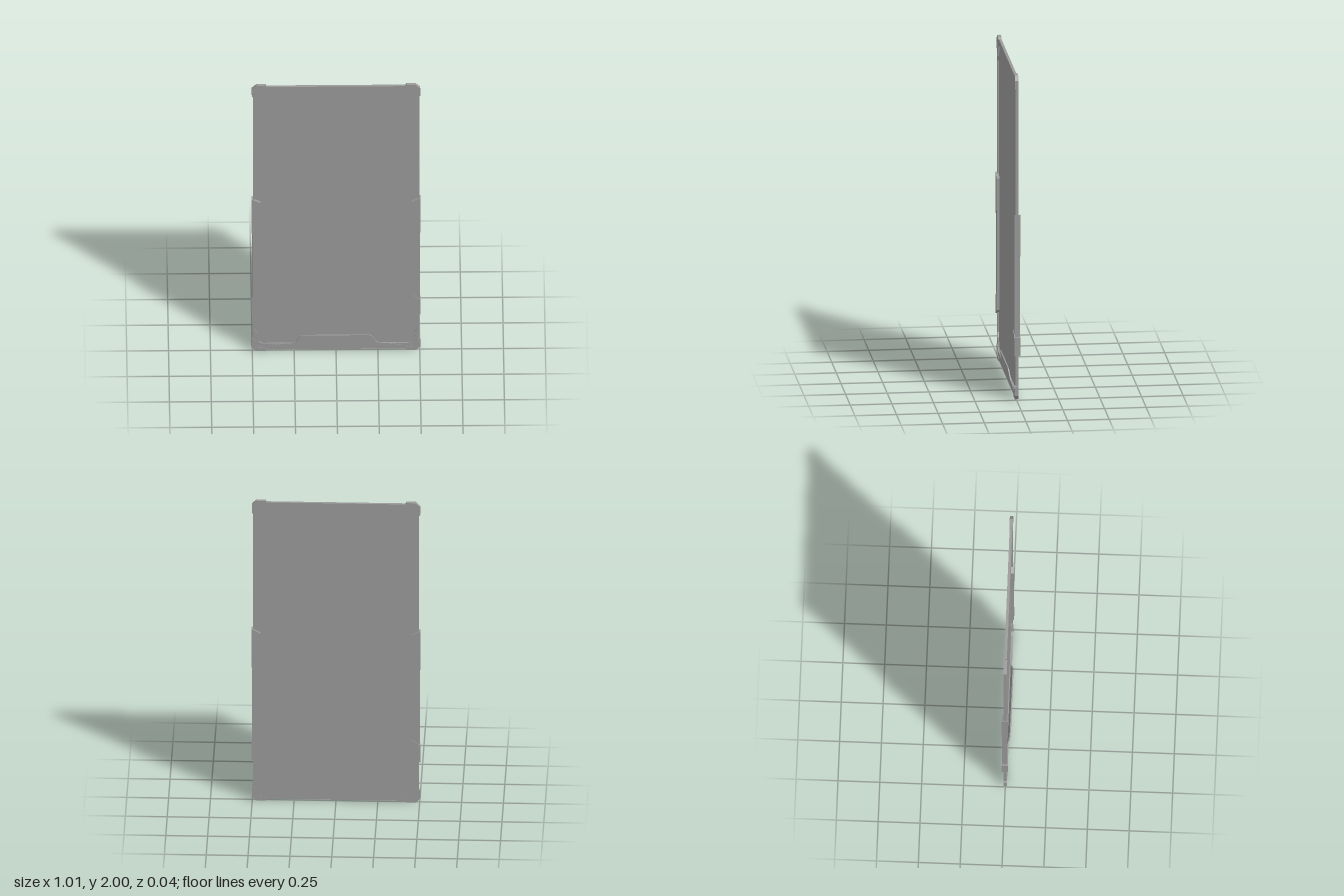
import * as THREE from 'three';

const material = new THREE.MeshStandardMaterial({ color: 0x9a9a9a });

const toPoints = (list) => list.map(([x, y]) => new THREE.Vector2(x, y));

// Flat plate with the given outline, filling z0..z1; optional hole outline
function plate(name, outline, z0, z1, hole) {
  const shape = new THREE.Shape(toPoints(outline));
  if (hole) shape.holes.push(new THREE.Path(toPoints(hole)));
  const geometry = new THREE.ExtrudeGeometry(shape, { depth: z1 - z0, bevelEnabled: false });
  geometry.translate(0, 0, z0);
  const mesh = new THREE.Mesh(geometry, material);
  mesh.name = name;
  return mesh;
}

// Closes a right-hand half outline by mirroring it in x
const mirrored = (half) => [...half, ...half.slice().reverse().map(([x, y]) => [-x, y])];

export function createModel() {
  const model = new THREE.Group();
  model.name = 'panelTray';

  // Back panel and the thin raised rim around it
  const outline = mirrored([[0.475, 0.01], [0.497, 0.035], [0.497, 1.965], [0.475, 1.99]]);
  const opening = mirrored([
    [0.31, 0.053], [0.44, 0.053], [0.464, 0.07], [0.47, 0.13], [0.485, 0.16],
    [0.485, 1.84], [0.47, 1.87], [0.464, 1.93], [0.44, 1.962], [0.28, 1.966], [0.22, 1.98],
  ]);
  model.add(plate('backPanel', outline, -0.010, -0.003));
  model.add(plate('rim', outline, -0.003, 0.006, opening));

  // Corner guards: chamfered L brackets, a little thicker than the rim
  const corner = [
    [0.413, 1.985], [0.42, 2.0], [0.476, 2.0], [0.503, 1.973], [0.503, 1.918],
    [0.488, 1.91], [0.478, 1.925], [0.474, 1.955], [0.458, 1.972], [0.428, 1.975],
  ];
  for (const sx of [-1, 1]) {
    for (const top of [true, false]) {
      const points = corner.map(([x, y]) => [sx * x, top ? y : 2 - y]);
      const side = sx > 0 ? 'left' : 'right';
      model.add(plate(`${side}${top ? 'Top' : 'Bottom'}Corner`, points, -0.012, 0.009));
    }
  }

  // Side grips: a slim middle bar with a thicker clamp at each end
  const grips = [
    ['Bar', [[0.45, 0.42], [0.5, 0.38], [0.5, 0.91], [0.45, 0.93]], -0.019, 0.012],
    ['UpperClamp', [[0.45, 0.92], [0.505, 0.89], [0.505, 1.147], [0.492, 1.142], [0.45, 1.12]], -0.022, 0.015],
    ['LowerClamp', [[0.45, 0.305], [0.492, 0.28], [0.505, 0.273], [0.505, 0.385], [0.45, 0.425]], -0.022, 0.015],
  ];
  for (const sx of [-1, 1]) {
    const grip = new THREE.Group();
    grip.name = sx > 0 ? 'leftGrip' : 'rightGrip';
    for (const [part, points, z0, z1] of grips) {
      grip.add(plate(`grip${part}`, points.map(([x, y]) => [sx * x, y]), z0, z1));
    }
    model.add(grip);
  }

  // Bottom lip: a thin ledge leaning forward toward its top edge; it keeps the
  // upright normals so that it shades evenly with the panel
  const lip = plate('bottomLip', mirrored([
    [0.41, 0.012], [0.41, 0.035], [0.31, 0.055], [0.252, 0.06], [0.24, 0.07], [0.212, 0.118], [0.2, 0.125],
  ]), -0.004, 0.003);
  const pos = lip.geometry.attributes.position;
  for (let i = 0; i < pos.count; i++) {
    pos.setZ(i, pos.getZ(i) + (pos.getY(i) - 0.012) * 0.17);
  }
  model.add(lip);

  return model;
}
